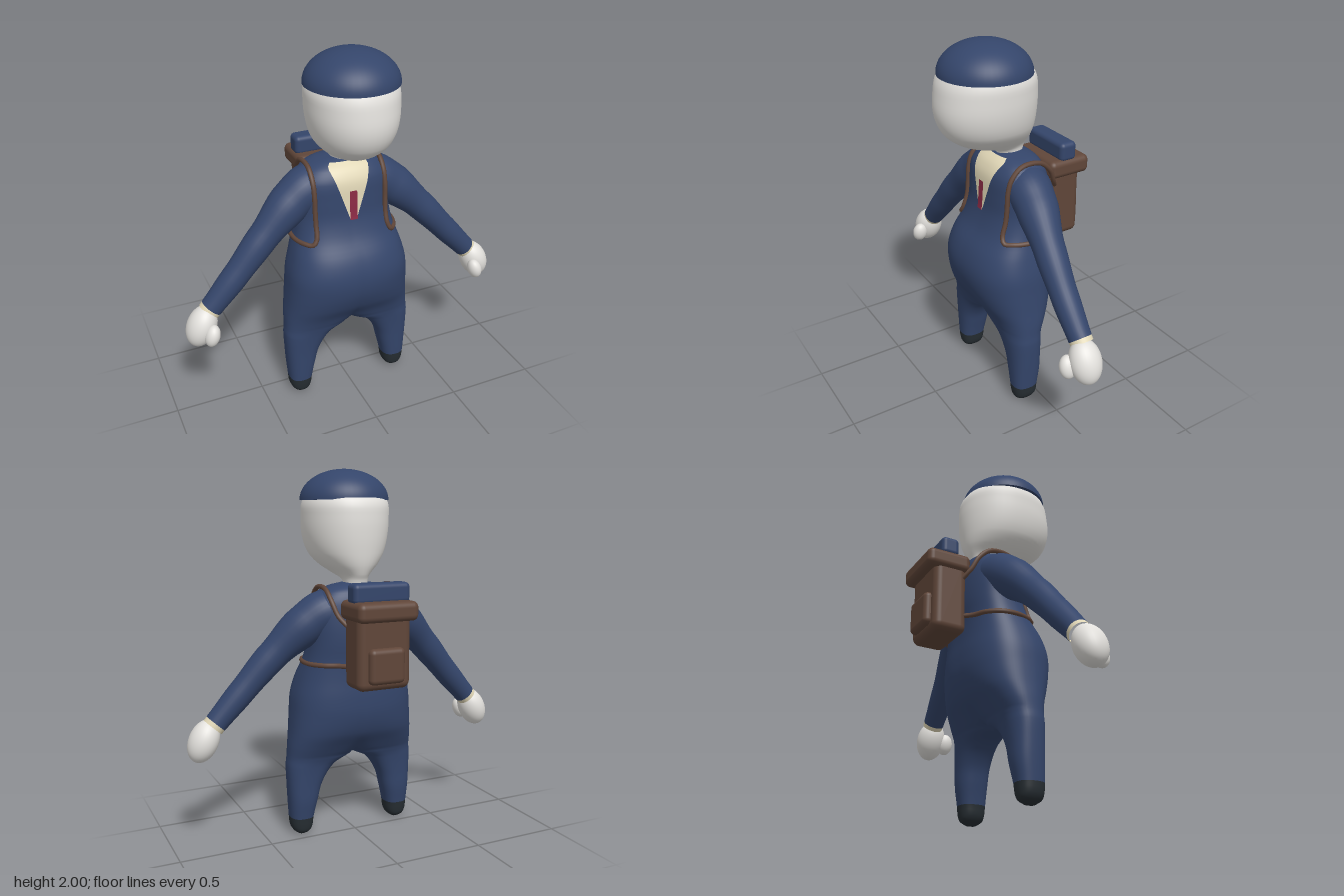
import * as THREE from 'three';
import { mergeGeometries, mergeVertices } from 'three/addons/utils/BufferGeometryUtils.js';
import { RoundedBoxGeometry } from 'three/addons/geometries/RoundedBoxGeometry.js';

const mat = (name, color, side = THREE.FrontSide) => {
  const m = new THREE.MeshStandardMaterial({ color, side });
  m.name = name;
  return m;
};

// Body sections, top to bottom: [y, inner x, outer x, back z, front z].
// A negative inner x means both halves meet on the centre plane.
const BODY = [
  [1.405, -0.07, 0.07, -0.05, 0.06], [1.39, -0.15, 0.15, -0.1, 0.09],
  [1.36, -0.21, 0.21, -0.13, 0.125], [1.3, -0.255, 0.255, -0.15, 0.155],
  [1.2, -0.265, 0.265, -0.16, 0.165], [1.1, -0.265, 0.265, -0.16, 0.175],
  [1.0, -0.28, 0.28, -0.15, 0.21], [0.9, -0.31, 0.31, -0.15, 0.27],
  [0.8, -0.335, 0.335, -0.155, 0.3], [0.7, -0.345, 0.345, -0.15, 0.295],
  [0.6, -0.25, 0.355, -0.12, 0.26], [0.52, -0.1, 0.365, -0.07, 0.215],
  [0.45, 0, 0.37, -0.03, 0.19], [0.4, 0.1, 0.375, -0.015, 0.18],
  [0.3, 0.175, 0.372, -0.005, 0.17], [0.2, 0.205, 0.367, 0, 0.165],
  [0.1, 0.228, 0.36, 0.015, 0.16], [0.05, 0.235, 0.355, 0.02, 0.155],
  [0.02, 0.25, 0.34, 0.03, 0.145], [0, 0.275, 0.315, 0.06, 0.115],
];
const HEAD = [
  [1.95, -0.06, 0.06, 0.08, 0.2], [1.9, -0.17, 0.17, -0.04, 0.32],
  [1.83, -0.224, 0.224, -0.115, 0.38], [1.75, -0.23, 0.23, -0.13, 0.4],
  [1.65, -0.222, 0.222, -0.13, 0.405], [1.56, -0.195, 0.195, -0.122, 0.375],
  [1.5, -0.15, 0.15, -0.112, 0.315], [1.45, -0.09, 0.09, -0.095, 0.21],
  [1.42, -0.065, 0.065, -0.08, 0.09], [1.37, -0.062, 0.062, -0.07, 0.07],
];

// Smooth interpolation of a section table at height y
function sectionAt(keys, y) {
  let i = 0;
  while (i < keys.length - 2 && y < keys[i + 1][0]) i++;
  const slope = (k, c) => {
    const a = keys[Math.max(k - 1, 0)], b = keys[Math.min(k + 1, keys.length - 1)];
    return (b[c] - a[c]) / (b[0] - a[0]);
  };
  const h = keys[i + 1][0] - keys[i][0], t = (y - keys[i][0]) / h;
  const s = [y];
  for (let c = 1; c < 5; c++) {
    s.push((1 + 2 * t) * (1 - t) ** 2 * keys[i][c] + t * (1 - t) ** 2 * h * slope(i, c)
      + t * t * (3 - 2 * t) * keys[i + 1][c] + t * t * (t - 1) * h * slope(i + 1, c));
  }
  s[1] = Math.max(s[1], -s[2]);
  return s;
}

// All heights of a table between two limits, with steps in between
function heights(keys, top, bottom, steps = 4) {
  const ys = [];
  keys.forEach(([y], i) => {
    if (y > top || y < bottom) return;
    ys.push(y);
    if (i + 1 < keys.length && keys[i + 1][0] >= bottom)
      for (let k = 1; k < steps; k++) ys.push(y + (keys[i + 1][0] - y) * k / steps);
  });
  return ys;
}

const power = (v, e) => Math.sign(v) * Math.abs(v) ** e;

// One rounded section; the half version stops at the centre plane
function ring([y, inner, outer, zb, zf], e, half, m = 1, n = 44) {
  const cx = (inner + outer) / 2, rx = (outer - inner) / 2, cz = (zb + zf) / 2, rz = (zf - zb) / 2;
  const T = half && inner < 0 ? Math.acos(-(Math.min(1, Math.abs(cx / rx)) ** (1 / e))) : Math.PI;
  return Array.from({ length: n + 1 }, (_, i) => {
    const t = T * (2 * i / n - 1);
    return [m * (cx + rx * power(Math.cos(t), e)), y, cz + rz * power(Math.sin(t), e)];
  });
}

// Skin over rows of points
function loft(rows, flip = false) {
  const n = rows[0].length, index = [];
  for (let r = 0; r < rows.length - 1; r++)
    for (let i = 0; i < n - 1; i++) {
      const a = r * n + i, b = a + n;
      index.push(...(flip ? [a, b, a + 1, a + 1, b, b + 1] : [a, a + 1, b, a + 1, b + 1, b]));
    }
  const g = new THREE.BufferGeometry();
  g.setAttribute('position', new THREE.Float32BufferAttribute(rows.flat(2), 3));
  g.setIndex(index);
  return g;
}
function smooth(parts) {
  const g = mergeVertices(mergeGeometries(parts), 1e-4);
  g.computeVertexNormals();
  return g;
}
const point = (row, c) => row.map(() => c);

// Both mirrored halves of the body between two heights
function bodyPart(top, bottom) {
  return smooth([1, -1].map(m => {
    const rows = heights(BODY, top, bottom).map(y => ring(sectionAt(BODY, y), 0.8, true, m));
    if (bottom === 0) rows.push(point(rows[0], [m * 0.295, 0, 0.088]));
    if (top > 1.4) rows.unshift(point(rows[0], [0, 1.407, 0]));
    return loft(rows, m < 0);
  }));
}

// Depth of the torso's front surface
function frontZ(x, y) {
  const [, , w, zb, zf] = sectionAt(BODY, y);
  const c = Math.min(1, Math.abs(x) / w) ** (1 / 0.8);
  return (zb + zf) / 2 + (zf - zb) / 2 * Math.sqrt(1 - c * c) ** 0.8;
}
// Thin patch that follows the chest
function chestPatch(top, bottom, halfWidth, lift) {
  const rows = [];
  for (let r = 0; r <= 24; r++) {
    const y = top + (bottom - top) * r / 24, row = [];
    for (let i = 0; i <= 12; i++) {
      const x = halfWidth(r / 24) * (1 - i / 6);
      row.push([x, y, frontZ(x, y) + lift]);
    }
    rows.push(row);
  }
  return smooth([loft(rows)]);
}

// Sleeve path and radius
const ARM = new THREE.CatmullRomCurve3([
  [0.1, 1.255, -0.01], [0.19, 1.245, 0], [0.29, 1.185, 0.015], [0.46, 1.03, 0.05],
  [0.62, 0.855, 0.068], [0.785, 0.675, 0.075],
].map(p => new THREE.Vector3(...p)));
const ARM_R = [0.115, 0.122, 0.112, 0.083, 0.071, 0.06];
function armPart(t0, t1, extra, m) {
  const rows = [];
  for (let k = 0; k <= 30; k++) {
    const t = t0 + (t1 - t0) * k / 30, p = ARM.getPoint(t), d = ARM.getTangent(t);
    const i = Math.min(4, Math.floor(t * 5)), f = t * 5 - i;
    const r = THREE.MathUtils.lerp(ARM_R[i], ARM_R[i + 1], f * f * (3 - 2 * f)) + extra;
    const l = Math.hypot(d.x, d.y), row = [];
    for (let j = 0; j <= 28; j++) {
      const a = j / 28 * Math.PI * 2, c = r * Math.cos(a) / l;
      row.push([m * (p.x - d.y * c), p.y + d.x * c, p.z + r * Math.sin(a)]);
    }
    rows.push(row);
  }
  return smooth([loft(rows, m < 0)]);
}

export function createModel() {
  const model = new THREE.Group();
  const navy = mat('navy cloth', 0x34456a);
  const sleeve = mat('pale shirt', 0xe0d6b6, THREE.DoubleSide);
  const skin = mat('pale skin', 0xe2e0dc);
  const leather = mat('brown leather', 0x604639);
  const shoe = mat('dark shoe', 0x262d32);
  const red = mat('red tie', 0x8a2a44, THREE.DoubleSide);
  const add = (name, geometry, material, x = 0, y = 0, z = 0) => {
    const mesh = new THREE.Mesh(geometry, material);
    mesh.name = name;
    mesh.position.set(x, y, z);
    model.add(mesh);
    return mesh;
  };

  // Suit, shoes, shirt front and tie
  add('suit', bodyPart(2, 0.1), navy);
  add('shoes', bodyPart(0.1, 0), shoe);
  add('shirtFront', chestPatch(1.397, 1.1, t => t < 0.08 ? 0.085 + 0.35 * t : 0.113 - 0.1 * (t - 0.08), 0.004)
    && chestPatch(1.395, 1.1, t => Math.min(0.09 + 0.4 * t, 0.118 - 0.1 * t), 0.005), sleeve);
  add('tie', chestPatch(1.26, 1.1, () => 0.021, 0.009), red);

  // Head and cap
  const headRows = heights(HEAD, 2, 0).map(y => ring(sectionAt(HEAD, y), 0.95, false));
  headRows.unshift(point(headRows[0], [0, 1.96, 0.14]));
  add('head', smooth([loft(headRows)]), skin);
  const dome = Array.from({ length: 21 }, (_, i) => {
    const a = -Math.PI / 2 * (1 - i / 20);
    return new THREE.Vector2(0.241 * Math.cos(a) ** 0.95, 1.835 + 0.165 * (1 + Math.sin(a)));
  }).map((v, i) => {
    const a = i / 20 * Math.PI / 2;
    return new THREE.Vector2(Math.max(0, 0.241 * Math.cos(a)), 1.835 + 0.165 * Math.sin(a));
  });
  add('cap', new THREE.LatheGeometry(dome, 48), navy, 0, 0, 0.137);
  add('capUnderside', new THREE.CircleGeometry(0.241, 48).rotateX(Math.PI / 2), navy, 0, 1.835, 0.137);

  for (const m of [1, -1]) {
    const side = m > 0 ? 'left' : 'right';
    // Arm, cuff and mitten hand
    add(side + 'Sleeve', armPart(0, 0.98, 0, m), navy);
    add(side + 'Cuff', armPart(0.95, 1, -0.001, m), sleeve);
    const hand = add(side + 'Hand', new THREE.SphereGeometry(1, 32, 24), skin, m * 0.832, 0.603, 0.087);
    hand.scale.set(0.078, 0.118, 0.084);
    hand.rotation.z = m * 0.42;
    const thumb = add(side + 'Thumb', new THREE.SphereGeometry(1, 24, 16), skin, m * 0.797, 0.58, 0.165);
    thumb.scale.set(0.04, 0.062, 0.046);
    thumb.rotation.z = m * 0.3;

    // Shoulder strap, round the chest and back under the arm
    const path = [
      [0.14, 1.2, -0.2], [0.175, 1.25, -0.165], [0.195, 1.32, -0.13], [0.2, 1.375, -0.07], [0.2, 1.388, 0],
      [0.2, 1.375, 0.06], ...[1.32, 1.25, 1.17, 1.09].map(y => [0.2, y, frontZ(0.2, y) + 0.008]),
      [0.205, 1.02, frontZ(0.205, 1.02) + 0.006], [0.225, 0.988, frontZ(0.225, 0.988) + 0.005],
      [0.26, 0.985, 0.13], [0.287, 0.985, 0.05], [0.28, 0.985, -0.04], [0.23, 0.985, -0.11],
      [0.17, 0.985, -0.145], [0.12, 0.985, -0.2],
    ].map(([x, y, z]) => new THREE.Vector3(m * x, y, z));
    add(side + 'Strap', new THREE.TubeGeometry(new THREE.CatmullRomCurve3(path), 90, 0.013, 8), leather);
  }

  // Backpack with flap, pocket and bedroll
  const box = (name, w, h, d, r, y, z, material) =>
    add(name, new RoundedBoxGeometry(w, h, d, 5, r), material, 0, y, z);
  box('backpack', 0.3, 0.4, 0.185, 0.04, 1.08, -0.268, leather);
  box('backpackFlap', 0.338, 0.1, 0.248, 0.032, 1.285, -0.284, leather);
  box('backpackPocket', 0.2, 0.185, 0.08, 0.028, 1.01, -0.355, leather);
  box('bedroll', 0.318, 0.105, 0.1, 0.025, 1.372, -0.277, navy);
  return model;
}
